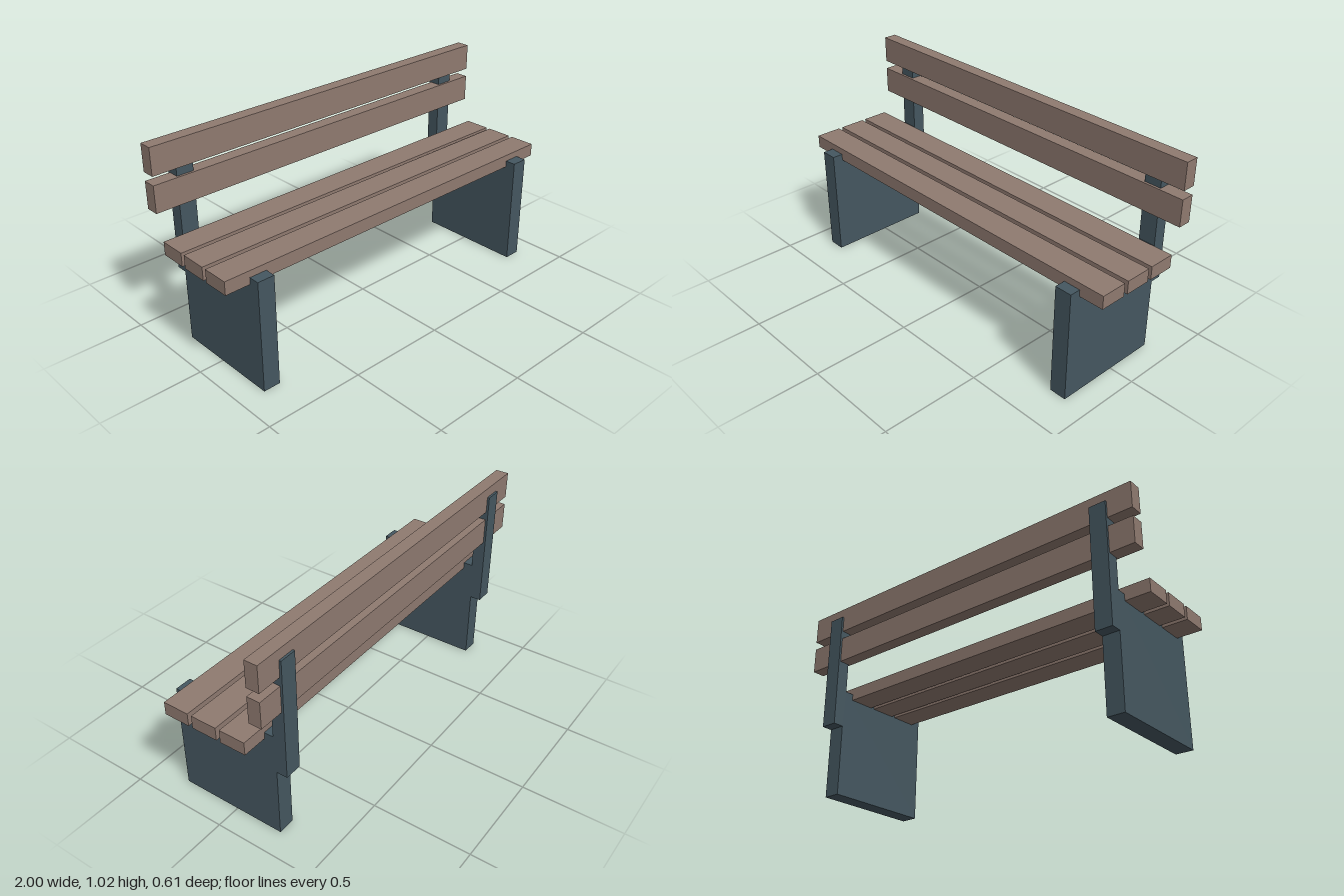
import * as THREE from 'three';

export function createModel() {
  const bench = new THREE.Group();
  bench.name = 'bench';

  const wood = new THREE.MeshStandardMaterial({ color: 0x8f7a70 });
  wood.name = 'weathered wood';
  const slate = new THREE.MeshStandardMaterial({ color: 0x455760 });
  slate.name = 'slate blue';

  // Side support: leg panel and back post in one outline, as [z, y]
  const outline = [
    [0.305, 0], [0.305, 0.557], [-0.24, 0.557], [-0.24, 0.973],
    [-0.305, 0.973], [-0.305, 0.362], [-0.25, 0.362], [-0.25, 0],
  ].map(([z, y]) => new THREE.Vector2(z, y));
  const thickness = 0.086;
  const supportGeometry = new THREE.ExtrudeGeometry(new THREE.Shape(outline), {
    depth: thickness, bevelEnabled: false,
  });
  supportGeometry.translate(0, 0, -thickness / 2).rotateY(-Math.PI / 2);
  for (const [name, side] of [['leftSupport', 1], ['rightSupport', -1]]) {
    const support = new THREE.Mesh(supportGeometry, slate);
    support.name = name;
    support.position.x = side * 0.832;
    bench.add(support);
  }

  // Full-width planks
  const addSlat = (name, height, depth, y, z) => {
    const slat = new THREE.Mesh(new THREE.BoxGeometry(2, height, depth), wood);
    slat.name = name;
    slat.position.set(0, y, z);
    bench.add(slat);
  };

  // Seat
  [0.184, 0.028, -0.127].forEach((z, i) => addSlat(`seatSlat${i + 1}`, 0.066, 0.134, 0.557, z));
  // Backrest
  [0.78, 0.957].forEach((y, i) => addSlat(`backSlat${i + 1}`, 0.134, 0.066, y, -0.261));

  return bench;
}
